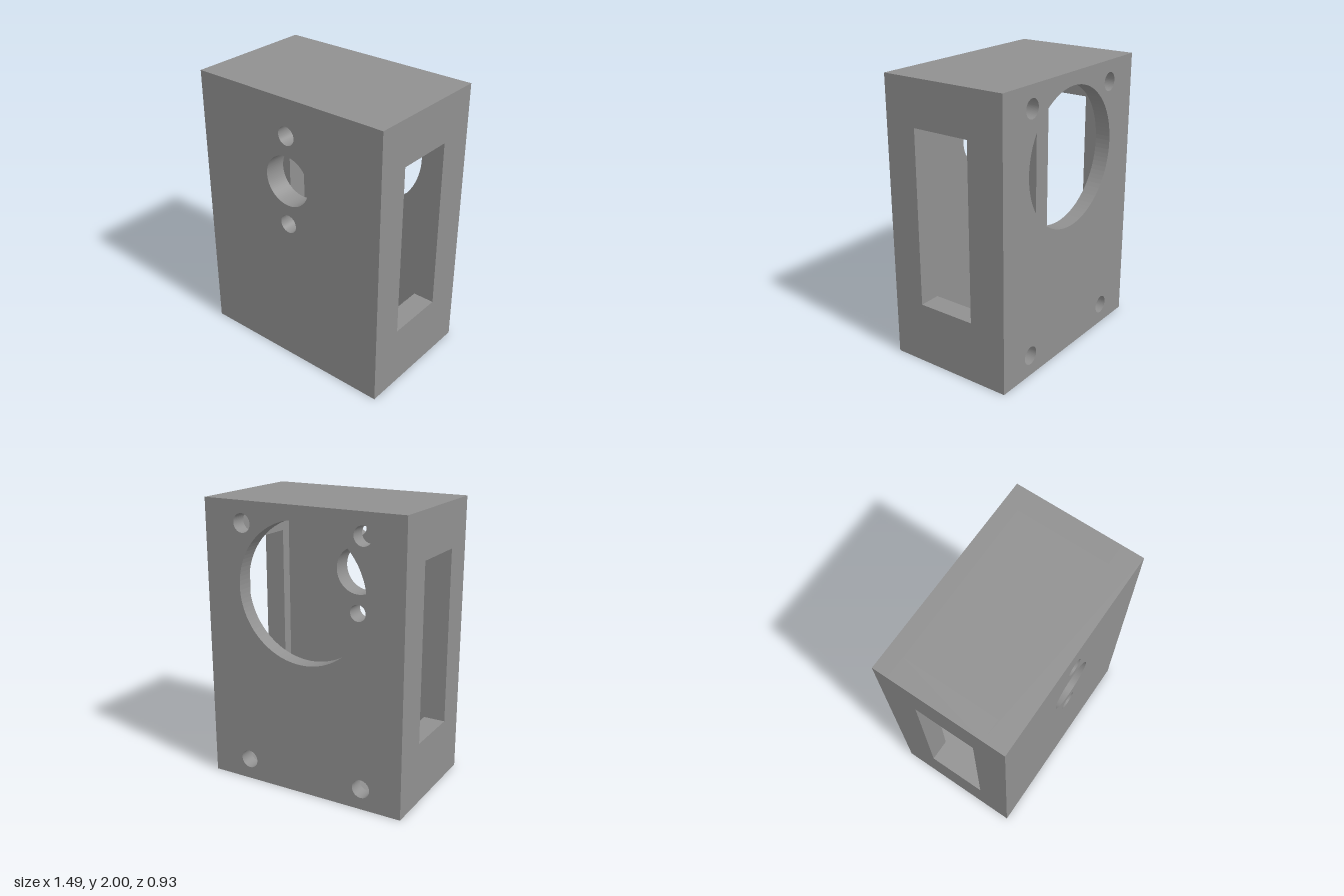
import * as THREE from 'three';

const W = 1.49, H = 2, D = 0.93;               // outer size
const SIDE = 0.155, FRONT = 0.155, BACK = 0.11, LID = 0.08; // wall thicknesses

// Rectangle outline centred on x = 0, from y0 to y1
function rect(shape, x0, x1, y0, y1) {
  return shape.moveTo(x0, y0).lineTo(x1, y0).lineTo(x1, y1).lineTo(x0, y1).closePath();
}

function panel(shape, depth) {
  return new THREE.ExtrudeGeometry(shape, { depth, bevelEnabled: false, curveSegments: 48 });
}

// Upright panel with round holes given as [x, y, radius]
function drilledPanel(holes, depth) {
  const shape = rect(new THREE.Shape(), -W / 2, W / 2, 0, H);
  for (const [x, y, r] of holes) {
    shape.holes.push(new THREE.Path().absarc(x, y, r, 0, Math.PI * 2, true));
  }
  return panel(shape, depth);
}

export function createModel() {
  const group = new THREE.Group();
  group.name = 'housing';
  const grey = new THREE.MeshStandardMaterial({ color: 0x909090 });
  grey.name = 'grey';

  const add = (name, geometry) => {
    const mesh = new THREE.Mesh(geometry, grey);
    mesh.name = name;
    group.add(mesh);
    return mesh;
  };

  // Front wall: main opening between two screw holes
  const front = drilledPanel([[0, 1.425, 0.178], [0, 1.745, 0.065], [0, 1.105, 0.065]], FRONT);
  add('frontWall', front).position.z = D / 2 - FRONT;

  // Back wall: large opening and four corner screw holes
  const backHoles = [[0, 1.425, 0.482]];
  for (const x of [-0.45, 0.45]) for (const y of [0.15, 1.85]) backHoles.push([x, y, 0.065]);
  add('backWall', drilledPanel(backHoles, BACK)).position.z = -D / 2;

  // Side walls with a tall slot, drawn in (z, y) and turned to face sideways
  const z0 = -D / 2 + BACK, z1 = D / 2 - FRONT;
  const sideShape = rect(new THREE.Shape(), -z1, -z0, 0, H);
  sideShape.holes.push(rect(new THREE.Path(), -0.23, 0.197, 0.44, 1.68));
  const side = panel(sideShape, SIDE).rotateY(Math.PI / 2);
  add('leftWall', side).position.x = W / 2 - SIDE;
  add('rightWall', side).position.x = -W / 2;

  // Top and floor between the walls
  const lid = new THREE.BoxGeometry(W - 2 * SIDE, LID, z1 - z0);
  add('top', lid).position.set(0, H - LID / 2, (z0 + z1) / 2);
  add('floor', lid).position.set(0, LID / 2, (z0 + z1) / 2);

  return group;
}
